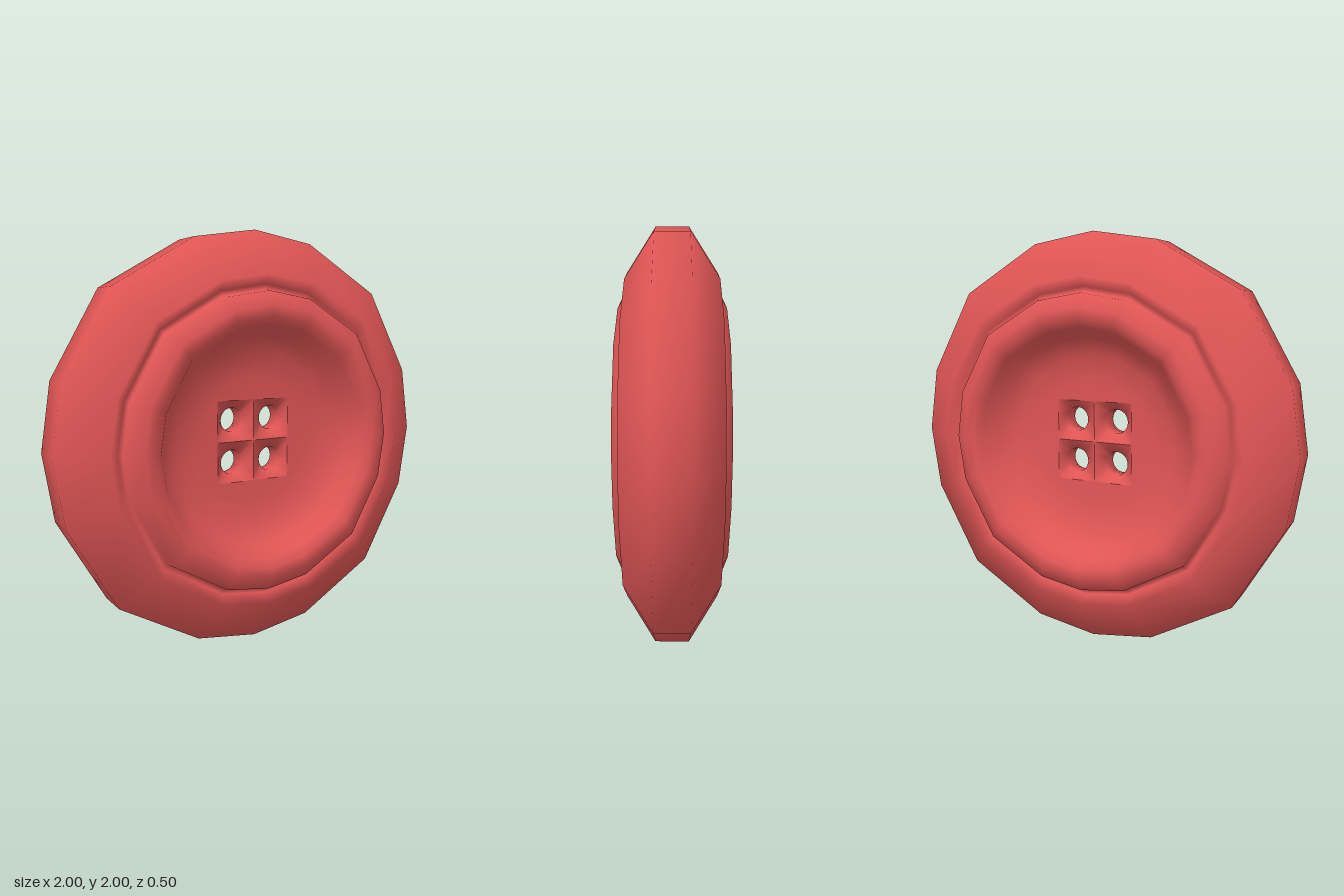
import * as THREE from 'three';

const material = new THREE.MeshStandardMaterial({ color: 0xe05555 });

// Joins closed rings of points with quads; shared vertices keep it smooth.
function loft(rings, name) {
  const n = rings[0].length;
  const index = [];
  for (let i = 0; i < rings.length - 1; i++) {
    for (let j = 0; j < n; j++) {
      const k = (j + 1) % n;
      const a = i * n + j, b = (i + 1) * n + j, c = (i + 1) * n + k, d = i * n + k;
      index.push(a, b, c, a, c, d);
    }
  }
  const geometry = new THREE.BufferGeometry();
  geometry.setAttribute('position', new THREE.Float32BufferAttribute(rings.flat(2), 3));
  geometry.setIndex(index);
  geometry.computeVertexNormals();
  const mesh = new THREE.Mesh(geometry, material);
  mesh.name = name;
  return mesh;
}

// Sixteen slightly uneven directions, four to a quadrant
const SKEW = Math.PI / 8 - Math.atan(1 / 3);
const bodyAngles = Array.from({ length: 16 }, (_, i) => {
  const a = (i * Math.PI) / 8;
  return a - SKEW * Math.sin(4 * a);
});
const holeAngles = Array.from({ length: 24 }, (_, i) => (i * Math.PI) / 12);

const roundRing = (angles, r, z, x = 0, y = 0, bulge = 0) => angles.map((a) => {
  const s = r * (1 + bulge * Math.sin(2 * a) ** 4);
  return [x + s * Math.cos(a), y + s * Math.sin(a), z];
});

const squareRing = (angles, half, z, x = 0, y = 0) => angles.map((a) => {
  const s = half / Math.max(Math.abs(Math.cos(a)), Math.abs(Math.sin(a)));
  return [x + s * Math.cos(a), y + s * Math.sin(a), z];
});

const FLOOR = 0.07;   // half thickness of the dish
const PIT = 0.1;      // half width of one square pit

// Half profile [radius, z] from dish floor to outer rim
const profile = [
  [0.32, 0.073], [0.43, 0.09], [0.51, 0.14], [0.56, 0.215], [0.6, 0.247],
  [0.65, 0.25], [0.715, 0.213], [0.722, 0.175], [0.745, 0.175],
  [0.79, 0.215], [1, 0.08],
];

export function createModel() {
  const button = new THREE.Group();
  button.name = 'button';

  // Body: front dish, lip, groove and rim, then the same on the back
  const front = [
    squareRing(bodyAngles, 2 * PIT, FLOOR),
    ...profile.map(([r, z]) => roundRing(bodyAngles, r, z, 0, 0, 0.018)),
  ];
  const back = front.map((ring) => ring.map(([x, y, z]) => [x, y, -z])).reverse();
  button.add(loft([...front, ...back], 'body'));

  // Four thread holes, each sunk in a square pit on both faces
  for (const sx of [-1, 1]) {
    for (const sy of [-1, 1]) {
      const px = sx * PIT, py = sy * PIT;
      const hx = sx * 0.108, hy = sy * 0.104;
      button.add(loft([
        squareRing(holeAngles, PIT, -FLOOR, px, py),
        roundRing(holeAngles, 0.059, -0.04, hx, hy),
        roundRing(holeAngles, 0.059, 0.04, hx, hy),
        squareRing(holeAngles, PIT, FLOOR, px, py),
      ], 'threadHole'));
    }
  }

  button.position.y = 1;
  const model = new THREE.Group();
  model.add(button);
  return model;
}
